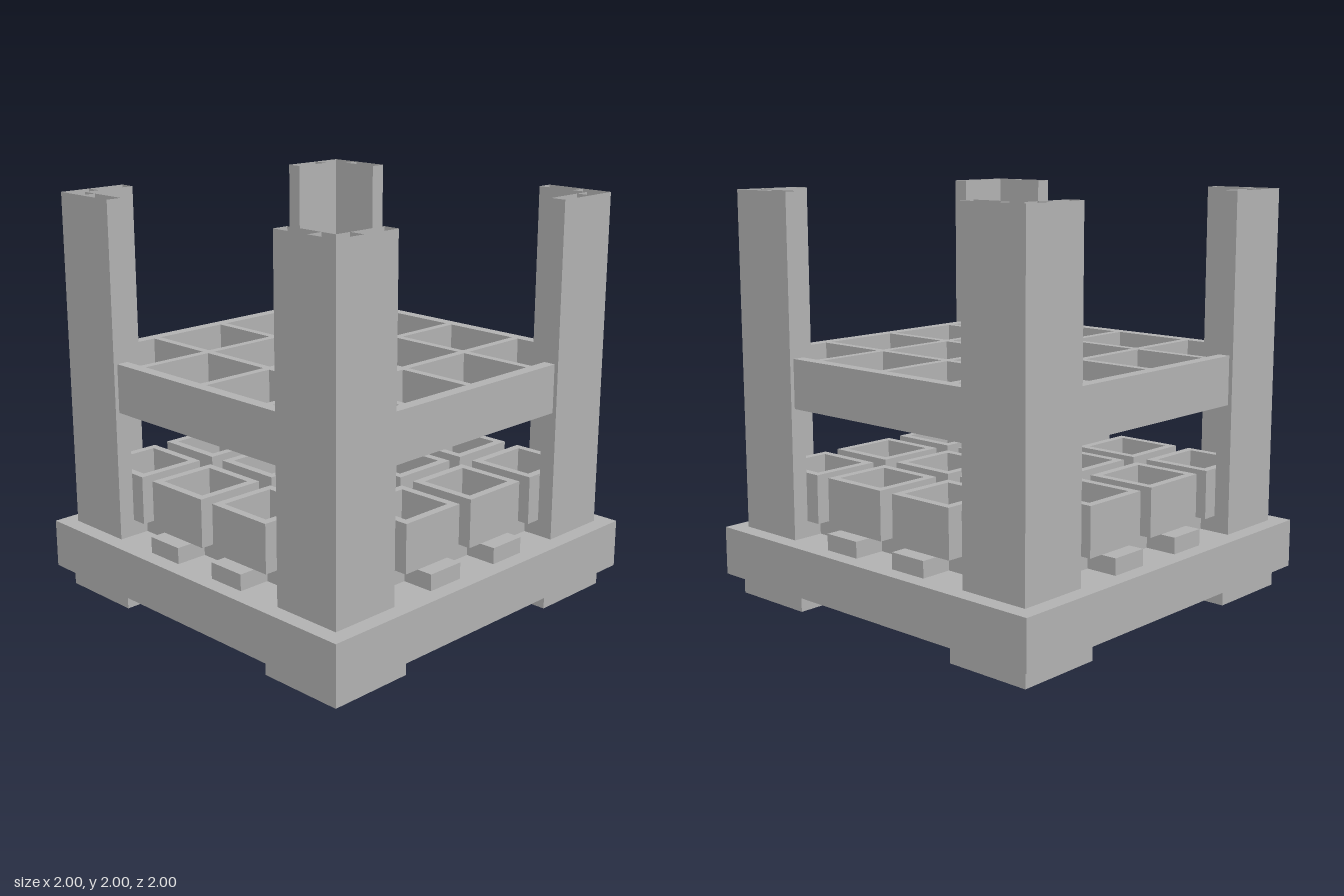
import * as THREE from 'three';

export function createModel() {
  const model = new THREE.Group();
  model.name = 'gridRack';
  const grey = new THREE.MeshStandardMaterial({ color: 0xb2b2b2, side: THREE.DoubleSide });
  grey.name = 'grey';

  const add = (name, geometry, x, y, z, parent = model) => {
    const mesh = new THREE.Mesh(geometry, grey);
    mesh.name = name;
    mesh.position.set(x, y, z);
    parent.add(mesh);
    return mesh;
  };

  // Square outline as a list of points
  const square = (cx, cy, half) => [[-1, -1], [1, -1], [1, 1], [-1, 1]]
    .map(([a, b]) => new THREE.Vector2(cx + a * half, cy + b * half));

  // Upright slab with square holes, standing from y = 0 to y = height
  const slab = (half, holes, height) => {
    const shape = new THREE.Shape(square(0, 0, half));
    for (const [x, y, h] of holes) shape.holes.push(new THREE.Path(square(x, y, h).reverse()));
    const geometry = new THREE.ExtrudeGeometry(shape, { depth: height, bevelEnabled: false });
    return geometry.rotateX(-Math.PI / 2);
  };

  const signs = [[1, 1], [1, -1], [-1, 1], [-1, -1]];
  const cells = [-0.66, -0.22, 0.22, 0.66];

  // Base with four square openings
  add('base', slab(1, signs.map(([x, z]) => [x * 0.42, z * 0.42, 0.34]), 0.24), 0, 0.1, 0);

  // Feet
  for (const [sx, sz] of signs) {
    add('foot', new THREE.BoxGeometry(0.44, 0.1, 0.44), sx * 0.72, 0.05, sz * 0.72);
  }

  // Lattice: long bars one way, short infill pieces the other way
  for (const x of cells) {
    add('latticeBar', new THREE.BoxGeometry(0.2, 0.08, 1.84), x, 0.38, 0);
    for (const z of cells) {
      for (const gap of [-0.44, 0, 0.44]) {
        if (x === cells[0]) add('latticeCrossPiece', new THREE.BoxGeometry(0.24, 0.08, 0.2), gap, 0.38, z);
      }
    }
    for (const s of [-1, 1]) {
      add('latticeEnd', new THREE.BoxGeometry(0.16, 0.08, 0.2), s * 0.84, 0.38, x);
    }
  }

  // Open square cups, one on each lattice crossing
  const cup = slab(0.18, [[0, 0, 0.14]], 0.24);
  for (const x of cells) for (const z of cells) add('cup', cup, x, 0.42, z);

  // Upper rack: outer frame and dividers as one slab with sixteen openings
  const rack = new THREE.Group();
  rack.name = 'upperRack';
  model.add(rack);
  add('rackFrame', slab(0.9, [[0, 0, 0.84]], 0.24), 0, 0.98, 0, rack);
  for (const p of [-0.44, 0, 0.44]) {
    add('rackDivider', new THREE.BoxGeometry(0.04, 0.24, 1.68), p, 1.1, 0, rack);
    add('rackCrossDivider', new THREE.BoxGeometry(1.68, 0.24, 0.04), 0, 1.1, p, rack);
  }

  // Hollow L-shaped corner posts, open at the top, with two inner partitions
  const outline = [[0.92, 0.92], [0.56, 0.92], [0.56, 0.84], [0.84, 0.84], [0.84, 0.56], [0.92, 0.56]];
  const walls = outline.map((p, i) => [p, outline[(i + 1) % outline.length]]);
  walls.push([[0.76, 0.84], [0.76, 0.92]], [[0.84, 0.76], [0.92, 0.76]]);
  for (let corner = 0; corner < 4; corner++) {
    const post = new THREE.Group();
    post.name = 'cornerPost';
    post.rotation.y = corner * Math.PI / 2;
    for (const [[x1, z1], [x2, z2]] of walls) {
      const width = Math.hypot(x2 - x1, z2 - z1);
      const wall = add('postWall', new THREE.PlaneGeometry(width, 1.66), (x1 + x2) / 2, 1.17, (z1 + z2) / 2, post);
      // turn each wall so that its front looks out of the post
      wall.rotation.y = Math.atan2(z2 - z1, -(x2 - x1));
    }
    model.add(post);
  }

  return model;
}
